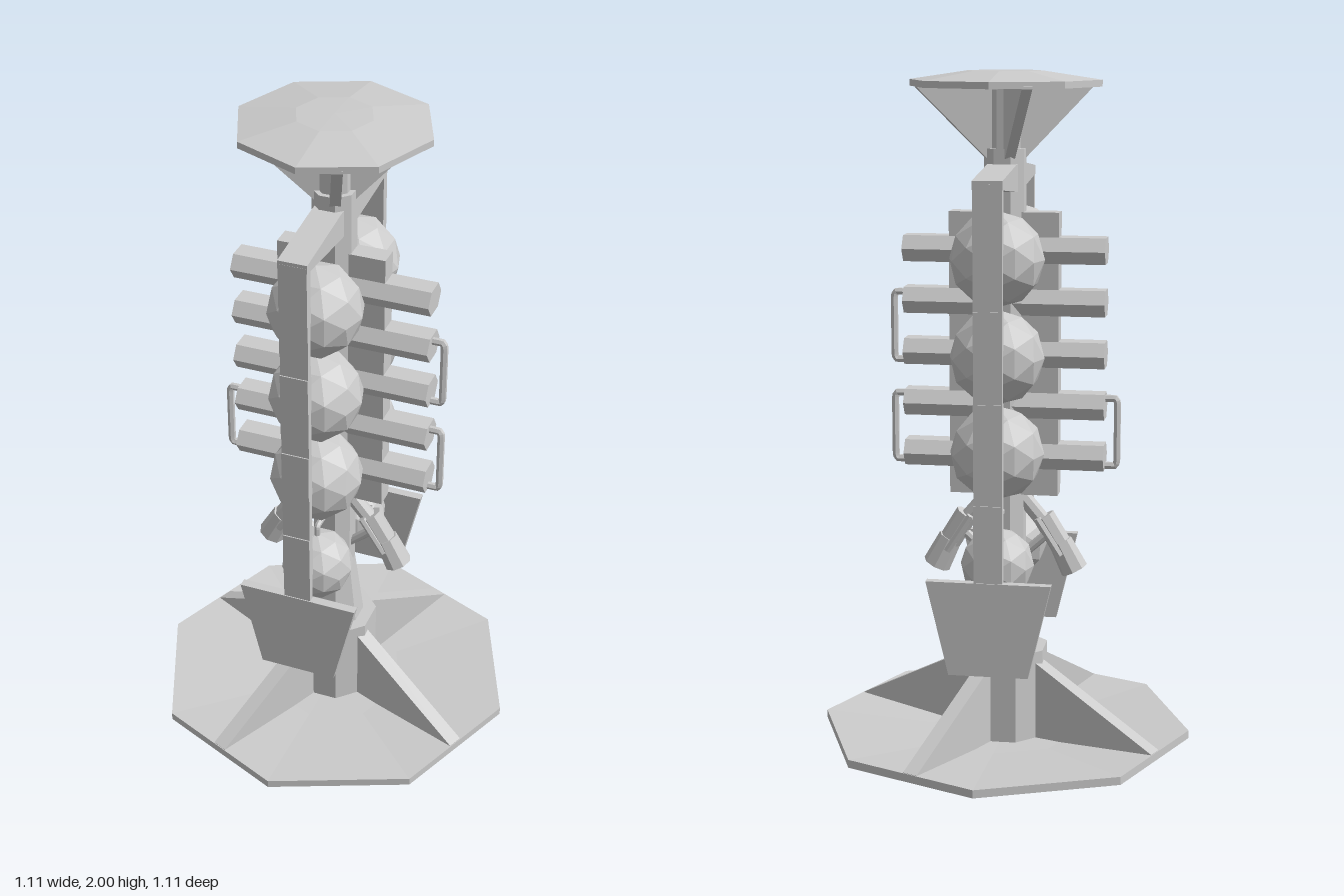
import * as THREE from 'three';

const mat = new THREE.MeshStandardMaterial({ color: 0xcccccc, flatShading: true });
const V = (x, y, z) => new THREE.Vector3(x, y, z);

function add(parent, name, geometry, x = 0, y = 0, z = 0) {
  const mesh = new THREE.Mesh(geometry, mat);
  mesh.name = name;
  mesh.position.set(x, y, z);
  parent.add(mesh);
  return mesh;
}

// Extrudes a closed outline of [x, y] points, centred on z
function slab(points, depth) {
  const shape = new THREE.Shape(points.map(p => new THREE.Vector2(p[0], p[1])));
  const g = new THREE.ExtrudeGeometry(shape, { depth, bevelEnabled: false });
  return g.translate(0, 0, -depth / 2);
}

// Round rod between two points
function rod(parent, name, a, b, r1, r2 = r1, sides = 8) {
  const d = b.clone().sub(a);
  const m = add(parent, name, new THREE.CylinderGeometry(r2, r1, d.length(), sides));
  m.position.copy(a).addScaledVector(d, 0.5);
  m.quaternion.setFromUnitVectors(V(0, 1, 0), d.normalize());
  return m;
}

// Bent pipe through straight segments
function pipe(parent, name, pts, r) {
  const path = new THREE.CurvePath();
  for (let i = 0; i < pts.length - 1; i++) {
    const a = i === 0 ? pts[0] : pts[i].clone().lerp(pts[i + 1], 0.12);
    const last = i === pts.length - 2;
    const b = last ? pts[i + 1] : pts[i + 1].clone().lerp(pts[i], 0.12);
    path.add(new THREE.LineCurve3(a, b));
    if (!last) {
      path.add(new THREE.QuadraticBezierCurve3(b, pts[i + 1], pts[i + 1].clone().lerp(pts[i + 2], 0.12)));
    }
  }
  add(parent, name, new THREE.TubeGeometry(path, 40, r, 6));
}

// Octagonal dish with four swept fins
function dish(name, profile, fin, finWidth) {
  const g = new THREE.Group();
  g.name = name;
  add(g, name + 'Plate', new THREE.LatheGeometry(profile.map(p => new THREE.Vector2(p[0], p[1])), 8));
  for (let i = 0; i < 4; i++) {
    add(g, name + 'Fin', slab(fin, finWidth)).rotation.y = -Math.PI / 8 + i * Math.PI / 2;
  }
  return g;
}

export function createModel() {
  const model = new THREE.Group();
  model.name = 'station';

  // Base and inverted cap
  model.add(dish('base',
    [[0, 0], [0.22, 0.005], [0.555, 0.033], [0.555, 0.057], [0.22, 0.035], [0, 0.03]],
    [[0.06, 0.03], [0.2, 0.033], [0.51, 0.05], [0.51, 0.058], [0.12, 0.265], [0.06, 0.265]], 0.046));
  const cap = dish('cap',
    [[0, 0], [0.11, 0.002], [0.278, 0.027], [0.278, 0.046], [0.11, 0.025], [0, 0.022]],
    [[0.03, 0.02], [0.11, 0.022], [0.258, 0.04], [0.258, 0.047], [0.055, 0.25], [0.03, 0.25]], 0.03);
  cap.rotation.z = Math.PI;
  cap.position.y = 2;
  model.add(cap);

  // Central column
  const flat = Math.PI / 8;
  add(model, 'hub', new THREE.CylinderGeometry(0.13, 0.13, 0.27, 8), 0, 0.165, 0).rotation.y = flat;
  add(model, 'taperedCollar', new THREE.CylinderGeometry(0.063, 0.09, 0.21, 8), 0, 0.405, 0).rotation.y = flat;
  add(model, 'pole', new THREE.CylinderGeometry(0.063, 0.063, 1.28, 8), 0, 1.14, 0).rotation.y = flat;
  add(model, 'upperPole', new THREE.CylinderGeometry(0.048, 0.048, 0.25, 8), 0, 1.86, 0).rotation.y = flat;
  add(model, 'coreBox', new THREE.BoxGeometry(0.32, 0.83, 0.06), 0, 1.185, 0);

  // Cross bars with six-sided section
  const hex = [[-0.055, 0], [-0.03, -0.038], [0.03, -0.038], [0.055, 0], [0.03, 0.038], [-0.03, 0.038]];
  for (let i = 0; i < 5; i++) {
    add(model, 'crossBar', slab(hex, 0.59), 0, 1.491 - i * 0.151, 0).rotation.y = Math.PI / 2;
  }

  // Side loops joining pairs of bars
  for (const [s, y] of [[1, 1.26], [1, 0.96], [-1, 0.96]]) {
    pipe(model, 'sideLoop', [V(s * 0.27, y - 0.1, 0.005), V(s * 0.33, y - 0.1, 0.005),
      V(s * 0.33, y + 0.1, 0.005), V(s * 0.27, y + 0.1, 0.005)], 0.011);
  }

  // Front and back halves
  for (const s of [1, -1]) {
    const half = new THREE.Group();
    half.name = s > 0 ? 'frontHalf' : 'backHalf';
    half.rotation.y = s > 0 ? 0 : Math.PI;
    model.add(half);

    // Tanks
    for (const y of [1.478, 1.198, 0.92]) {
      add(half, 'tank', new THREE.IcosahedronGeometry(0.137, 1), 0, y, 0.145);
    }
    add(half, 'lowerTank', new THREE.IcosahedronGeometry(0.108, 1), 0, 0.588, 0.142);
    pipe(half, 'tankPipe', [V(0, 0.66, 0.142), V(0, 0.725, 0.142), V(0, 0.725, 0.03)], 0.009);

    // Arm from pole to outer strip
    add(half, 'arm', slab([[0, 1.655], [-0.06, 1.66], [-0.308, 1.685], [-0.308, 1.71], [-0.06, 1.737], [0, 1.737]], 0.085))
      .rotation.y = Math.PI / 2;

    // Outer strip of alternating thick and thin panels
    const cuts = [1.7, 1.52, 1.35, 1.24, 1.09, 0.95, 0.8, 0.66, 0.56];
    for (let i = 0; i < cuts.length - 1; i++) {
      const h = cuts[i] - cuts[i + 1];
      add(half, 'stripPanel', new THREE.BoxGeometry(0.082, h, i % 2 ? 0.02 : 0.027),
        0, cuts[i] - h / 2, 0.295);
    }
    add(half, 'skirtPlate', slab([[-0.115, 0.3], [0.115, 0.3], [0.18, 0.575], [-0.18, 0.575]], 0.027), 0, 0, 0.295);
  }

  // Angled thrusters on both sides
  for (const s of [1, -1]) {
    const g = new THREE.Group();
    g.name = s > 0 ? 'leftThruster' : 'rightThruster';
    model.add(g);
    rod(g, 'thrusterArm', V(s * 0.03, 0.785, 0), V(s * 0.14, 0.655, 0), 0.024);
    rod(g, 'thrusterBody', V(s * 0.115, 0.7, 0), V(s * 0.185, 0.585, 0), 0.034);
    rod(g, 'thrusterBell', V(s * 0.165, 0.625, 0), V(s * 0.208, 0.54, 0), 0.036, 0.042);
    rod(g, 'thrusterBrace', V(s * 0.04, 0.57, 0), V(s * 0.14, 0.66, 0), 0.014);
    for (const z of [-0.032, 0.032]) {
      rod(g, 'thrusterRail', V(s * 0.1, 0.7, z), V(s * 0.17, 0.59, z), 0.011, 0.011, 6);
    }
  }

  // Drain pipe at the back
  pipe(model, 'drainPipe', [V(0, 0.5, -0.13), V(0, 0.445, -0.152), V(0, 0.395, -0.06)], 0.01);

  return model;
}
